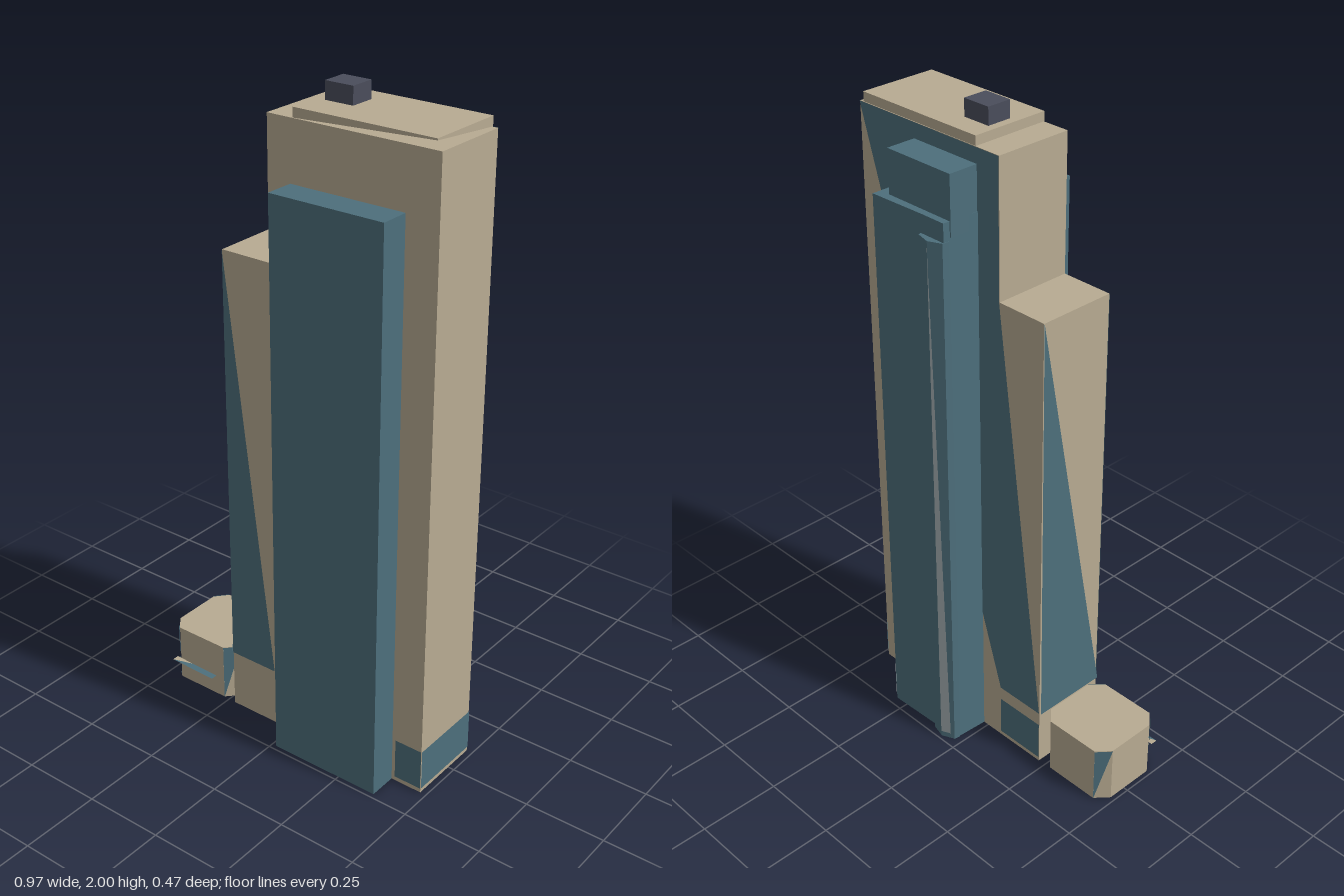
import * as THREE from 'three';

const mat = (name, color, side = THREE.FrontSide) => {
  const m = new THREE.MeshStandardMaterial({ color, side });
  m.name = name;
  return m;
};

export function createModel() {
  const group = new THREE.Group();
  group.name = 'highRise';
  const stone = mat('sandstone', 0xb8ab92, THREE.DoubleSide);
  const glass = mat('tealGlass', 0x4d6f7c, THREE.DoubleSide);
  const pale = mat('paleGlass', 0x97a1a4, THREE.DoubleSide);
  const slate = mat('darkSlate', 0x4a4d5b);

  const add = (name, geometry, material) => {
    const mesh = new THREE.Mesh(geometry, material);
    mesh.name = name;
    group.add(mesh);
    return mesh;
  };
  // Box given by its minimum and maximum on each axis
  const block = (name, m, x0, x1, y0, y1, z0, z1) => {
    const g = new THREE.BoxGeometry(x1 - x0, y1 - y0, z1 - z0);
    g.translate((x0 + x1) / 2, (y0 + y1) / 2, (z0 + z1) / 2);
    return add(name, g, m);
  };
  // Vertical prism over a footprint of [x, z] points
  const prism = (name, m, points, y0, y1) => {
    const shape = new THREE.Shape(points.map(([x, z]) => new THREE.Vector2(x, -z)));
    const g = new THREE.ExtrudeGeometry(shape, { depth: y1 - y0, bevelEnabled: false });
    g.rotateX(-Math.PI / 2).translate(0, y0, 0);
    return add(name, g, m);
  };
  // Flat convex panel, corners anticlockwise seen from outside
  const panel = (name, m, ...corners) => {
    const tris = [];
    for (let i = 1; i < corners.length - 1; i++) tris.push(corners[0], corners[i], corners[i + 1]);
    const g = new THREE.BufferGeometry();
    g.setAttribute('position', new THREE.Float32BufferAttribute(tris.flat(), 3));
    g.computeVertexNormals();
    return add(name, g, m);
  };

  const zB = -0.1, zF = 0.145, e = 0.002;

  // Main masses
  block('tower', stone, -0.06, 0.48, 0, 1.92, zB, zF);
  block('shoulder', stone, -0.225, -0.06, 0, 1.51, zB, zF);
  block('frontSlab', glass, 0.015, 0.378, 0, 1.745, zF, 0.235);
  block('rearUpperSlab', glass, 0.02, 0.26, 1.7, 1.875, -0.195, zB);
  prism('rearSlab', glass, [[0.018, zB], [0.295, zB], [0.295, -0.222], [0.105, -0.216], [0.025, -0.216]], 0, 1.745);
  prism('rearBay', glass, [[0.022, -0.2], [0.12, -0.2], [0.11, -0.226], [0.065, -0.238], [0.025, -0.22]], 0, 1.69);

  // Roof cap with its front corner lifted off the roof
  const cap = new THREE.BoxGeometry(0.44, 0.028, 0.245);
  const p = cap.attributes.position;
  for (let i = 0; i < p.count; i++) {
    if (p.getX(i) > 0 && p.getY(i) < 0 && p.getZ(i) > 0) p.setY(i, 0.009);
  }
  const capFlat = cap.toNonIndexed();
  capFlat.computeVertexNormals();
  capFlat.translate(0.245, 1.935, (zB + zF) / 2);
  add('roofCap', capFlat, stone);
  block('roofPlant', slate, 0.05, 0.14, 1.949, 2, -0.032, 0.045);

  // Glazing on the back of the tower and around the shoulder
  panel('towerBackGlazing', glass, [0.48, 1.92, zB - e], [-0.06, 0.19, zB - e], [-0.06, 1.92, zB - e]);
  panel('shoulderFrontGlazing', glass, [-0.225, 1.51, zF + e], [-0.225, 0.19, zF + e], [-0.06, 0.19, zF + e]);
  panel('shoulderBackGlazing', glass, [-0.06, 1.51, zB - e], [-0.06, 0.19, zB - e], [-0.225, 0.19, zB - e]);
  panel('shoulderSideGlazing', glass, [-0.227, 1.51, zB], [-0.232, 0.19, zB], [-0.232, 0.19, zF]);

  // Ground floor windows
  const y0 = 0.015, y1 = 0.145;
  panel('frontShopWindow', glass, [0.39, y0, zF + e], [0.48, y0, zF + e], [0.48, y1, zF + e], [0.39, y1, zF + e]);
  panel('sideShopWindow', glass, [0.48 + e, y0, zF], [0.48 + e, y0, zB], [0.48 + e, y1, zB], [0.48 + e, y1, zF]);
  panel('backShopWindow', glass, [-0.06, y0, zB - e], [-0.225, y0, zB - e], [-0.225, y1, zB - e], [-0.06, y1, zB - e]);
  panel('rearSideWindow', pale, [0.295 + e, y0, zB], [0.295 + e, y0, -0.222], [0.295 + e, y1, -0.222], [0.295 + e, y1, zB]);
  panel('rearBayStrip', pale, [0.064, 1.69, -0.2398], [0.064, 0.02, -0.2398], [0.035, 0.02, -0.2268]);

  // Low podium with cut corners
  const h = 0.185;
  prism('podium', stone, [[-0.485, -0.057], [-0.45, -0.097], [-0.27, -0.097], [-0.232, -0.057],
    [-0.232, 0.103], [-0.27, 0.143], [-0.45, 0.143], [-0.485, 0.103]], 0, h);
  panel('podiumFrontRightGlazing', glass, [-0.487, h, 0.105], [-0.452, 0, 0.145], [-0.452, h, 0.145]);
  panel('podiumFrontLeftGlazing', glass, [-0.268, h, 0.145], [-0.268, 0, 0.145], [-0.23, h, 0.105]);
  panel('podiumBackGlazing', glass, [-0.452, h, -0.099], [-0.452, 0, -0.099], [-0.487, h, -0.059]);

  // Entrance canopy
  panel('canopyGlass', glass, [-0.465, 0.07, 0.165], [-0.302, 0.066, 0.165], [-0.302, 0.066, 0.143], [-0.4, 0.068, 0.143]);
  panel('canopyStone', stone, [-0.465, 0.07, 0.143], [-0.465, 0.07, 0.165], [-0.4, 0.068, 0.143]);

  return group;
}
